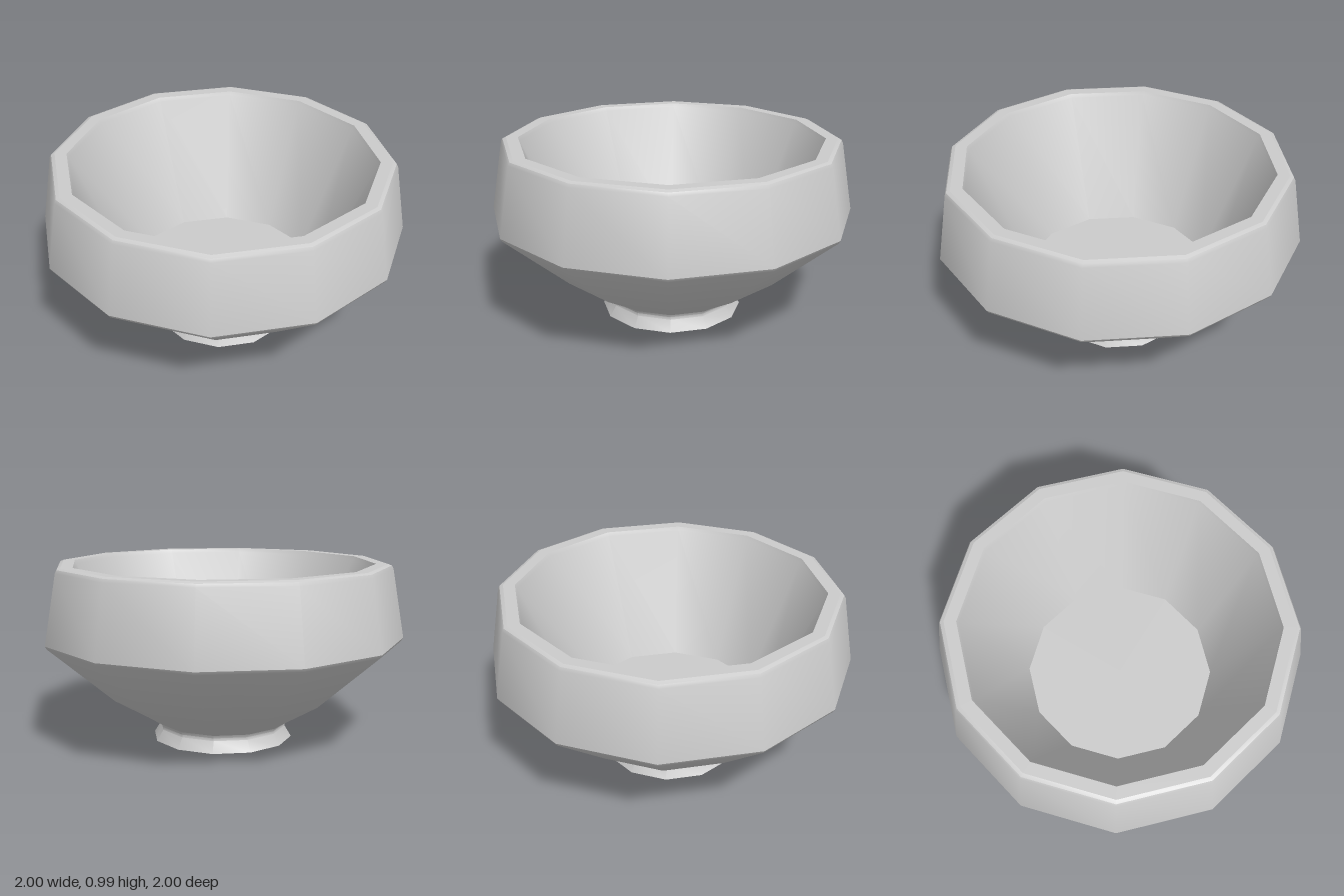
import * as THREE from 'three';
import { toCreasedNormals } from 'three/addons/utils/BufferGeometryUtils.js';

const SIDES = 12;

// Turns a [radius, height] profile into a twelve-sided mesh, smooth except at sharp bends
function turned(name, profile, material) {
  const points = profile.map(([r, y]) => new THREE.Vector2(r, y));
  const geometry = toCreasedNormals(new THREE.LatheGeometry(points, SIDES), 0.65);
  const mesh = new THREE.Mesh(geometry, material);
  mesh.name = name;
  return mesh;
}

export function createModel() {
  const material = new THREE.MeshStandardMaterial({ color: 0xcccccc, side: THREE.DoubleSide });
  const bowl = new THREE.Group();
  bowl.name = 'bowl';

  // Flared foot with a closed underside
  bowl.add(turned('foot', [[0, 0], [0.393, 0], [0.356, 0.06], [0.355, 0.075], [0.365, 0.092]], material));

  // Sloping underside, bevelled shoulder and upright wall with a rounded lip
  bowl.add(turned('outerWall', [
    [0.365, 0.092], [0.44, 0.14], [0.63, 0.252], [0.99, 0.565], [1, 0.582],
    [0.934, 0.96], [0.925, 0.977], [0.905, 0.985],
  ], material));

  // Flat rim
  bowl.add(turned('rim', [[0.905, 0.985], [0.84, 0.985]], material));

  // Tapering inside wall and flat floor
  bowl.add(turned('innerWall', [[0.84, 0.985], [0.83, 0.965], [0.53, 0.27], [0, 0.27]], material));

  return bowl;
}
